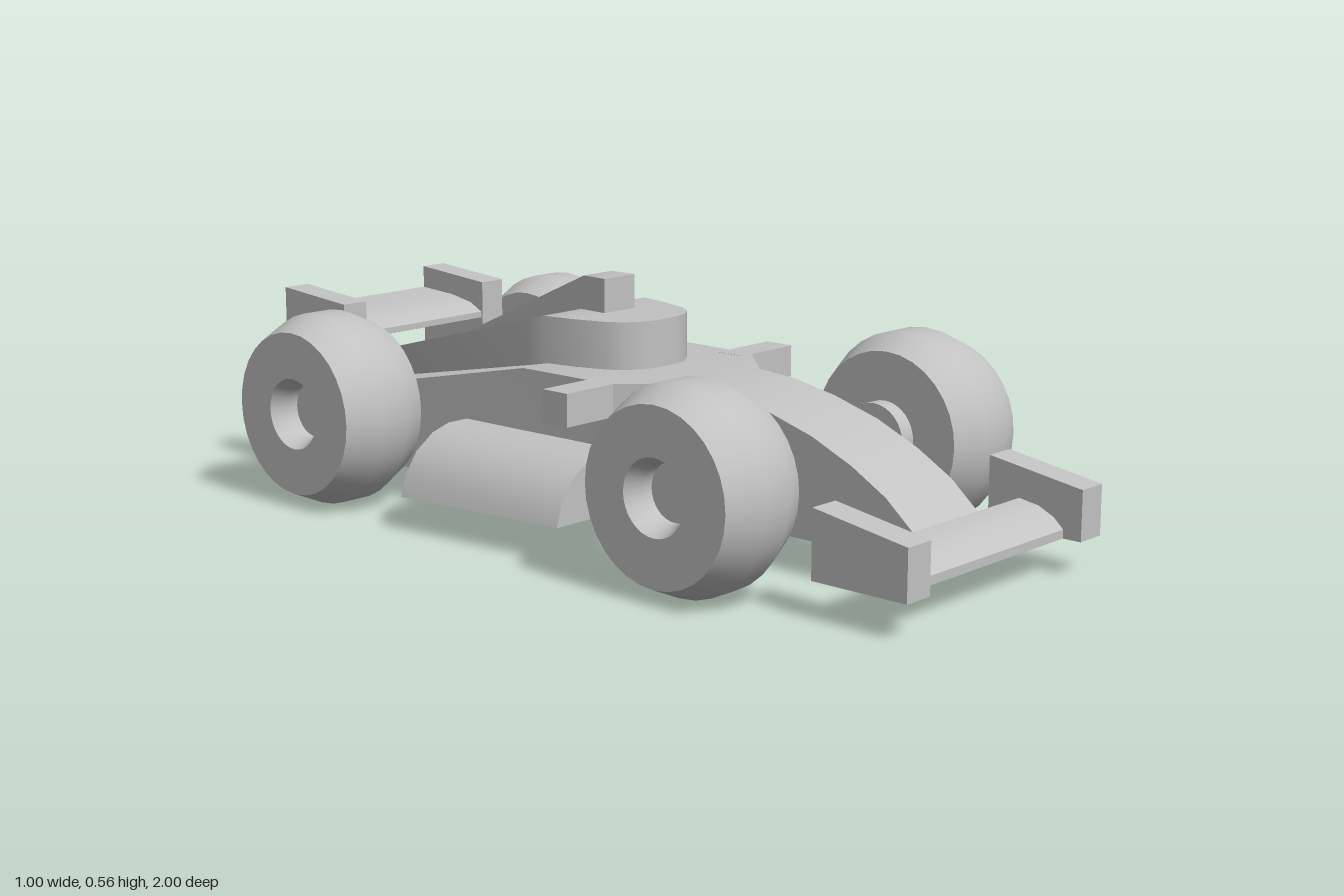
import * as THREE from 'three';
import { toCreasedNormals } from 'three/addons/utils/BufferGeometryUtils.js';

const grey = new THREE.MeshStandardMaterial({ color: 0xc2c2c2 });
grey.name = 'plain grey';

// Rectangle or trapezium cross-section, counter-clockwise seen from the front
const slab = (x0, x1, y0, y1) => [[x0, y0], [x1, y0], [x1, y1], [x0, y1]];
const trapezium = (bottom, top, y0, y1) => [[-bottom, y0], [bottom, y0], [top, y1], [-top, y1]];

// Skin of convex cross-sections [z, points], ordered from front to rear
function loft(sections, side = 1) {
  const rings = sections.map(([z, points]) => {
    const ring = points.map(([x, y]) => [x * side, y, z]);
    return side < 0 ? ring.reverse() : ring;
  });
  const n = rings[0].length;
  const last = (rings.length - 1) * n;
  const index = [];
  for (let i = 0; i < rings.length - 1; i++) {
    for (let j = 0; j < n; j++) {
      const a = i * n + j, b = i * n + (j + 1) % n;
      index.push(a, a + n, b, b, a + n, b + n);
    }
  }
  for (let j = 1; j < n - 1; j++) {
    index.push(0, j, j + 1, last, last + j + 1, last + j);
  }
  const geometry = new THREE.BufferGeometry();
  geometry.setAttribute('position', new THREE.Float32BufferAttribute(rings.flat(2), 3));
  geometry.setIndex(index);
  return toCreasedNormals(geometry, 0.5);
}

export function createModel() {
  const car = new THREE.Group();
  car.name = 'racingCar';
  const add = (name, geometry, x = 0, y = 0, z = 0) => {
    const mesh = new THREE.Mesh(geometry, grey);
    mesh.name = name;
    mesh.position.set(x, y, z);
    car.add(mesh);
    return mesh;
  };

  // Body: [z, half width at floor, half width at deck, deck height]
  add('body', loft([
    [0.84, 0.115, 0.115, 0.15], [0.77, 0.115, 0.115, 0.21], [0.68, 0.115, 0.115, 0.262],
    [0.57, 0.115, 0.115, 0.31], [0.45, 0.115, 0.115, 0.345], [0.33, 0.115, 0.115, 0.368],
    [0.23, 0.115, 0.115, 0.375], [0.1, 0.24, 0.24, 0.375], [-0.17, 0.25, 0.245, 0.375],
    [-0.78, 0.265, 0.262, 0.25],
  ].map(([z, b, t, y]) => [z, trapezium(b, t, 0.08, y)])));

  // Teardrop engine cover: [z, half width, top height]
  add('engineCover', loft([
    [0.05, 0.03, 0.485], [0.04, 0.07, 0.485], [0.015, 0.107, 0.485], [-0.02, 0.13, 0.485],
    [-0.1, 0.155, 0.485], [-0.18, 0.17, 0.485], [-0.24, 0.168, 0.468], [-0.78, 0.09, 0.325],
  ].map(([z, w, y]) => [z, trapezium(w, w, 0.2, y)])));

  // Air intake on top, tapering to the rear
  add('airIntake', loft([
    [-0.1, 0.05, 0.565], [-0.17, 0.047, 0.565], [-0.6, 0.03, 0.372],
  ].map(([z, w, y]) => [z, trapezium(w, w, 0.35, y)])));

  // Front wing with a curved upper face
  add('frontWing', loft([
    [0.955, 0.1], [0.93, 0.123], [0.89, 0.142], [0.84, 0.15],
  ].map(([z, y]) => [z, trapezium(0.28, 0.28, 0.08, y)])));

  // Rear wing blade and the tail box below it
  add('rearWing', loft([
    [-0.78, 0.36, 0.375], [-0.82, 0.35, 0.395], [-0.89, 0.345, 0.408], [-1, 0.36, 0.415],
  ].map(([z, y0, y1]) => [z, trapezium(0.21, 0.21, y0, y1)])));
  add('tailBox', loft([
    [-0.77, slab(-0.21, 0.21, 0.08, 0.25)], [-0.96, slab(-0.21, 0.21, 0.08, 0.25)],
    [-1, slab(-0.21, 0.21, 0.115, 0.25)],
  ]));

  // Wheel profile from the inner face, over the tread, into the rim recess
  const tyre = toCreasedNormals(new THREE.LatheGeometry([
    [0, 0], [0.195, 0], [0.23, 0.075], [0.23, 0.15], [0.195, 0.23],
    [0.085, 0.23], [0.065, 0.19], [0.065, 0.165], [0, 0.165],
  ].map(([r, h]) => new THREE.Vector2(r, h)), 32), 0.6);

  for (const side of [1, -1]) {
    const label = side > 0 ? 'left' : 'right';

    for (const [end, z] of [['Front', 0.47], ['Rear', -0.69]]) {
      add(`${label}${end}Wheel`, tyre, side * 0.27, 0.23, z).rotation.z = -side * Math.PI / 2;
    }

    // Front axle and hub
    const axle = new THREE.CylinderGeometry(0.035, 0.035, 0.16, 24);
    const hub = new THREE.CylinderGeometry(0.082, 0.082, 0.05, 32);
    add(`${label}FrontAxle`, axle, side * 0.18, 0.23, 0.47).rotation.z = Math.PI / 2;
    add(`${label}FrontHub`, hub, side * 0.255, 0.23, 0.47).rotation.z = Math.PI / 2;

    // Side pod widening to the rear, with a rounded shoulder
    const pod = (x) => [[0.2, 0.08], [x, 0.08], [x - 0.015, 0.13], [x - 0.05, 0.18],
      [x - 0.1, 0.215], [x - 0.15, 0.23], [0.2, 0.23]];
    add(`${label}SidePod`, loft([[0.1, pod(0.41)], [-0.355, pod(0.46)]], side));

    // Mirror arm
    add(`${label}MirrorArm`, new THREE.BoxGeometry(0.18, 0.075, 0.075), side * 0.29, 0.338, 0.067);

    // Front and rear wing end plates
    add(`${label}FrontEndPlate`, loft([
      [1, slab(0.27, 0.345, 0.08, 0.195)], [0.76, slab(0.27, 0.345, 0.08, 0.233)],
    ], side));
    add(`${label}RearEndPlate`, loft([
      [-0.775, slab(0.195, 0.265, 0.08, 0.452)], [-0.96, slab(0.195, 0.265, 0.08, 0.467)],
      [-1, slab(0.195, 0.265, 0.115, 0.47)],
    ], side));
  }
  return car;
}
